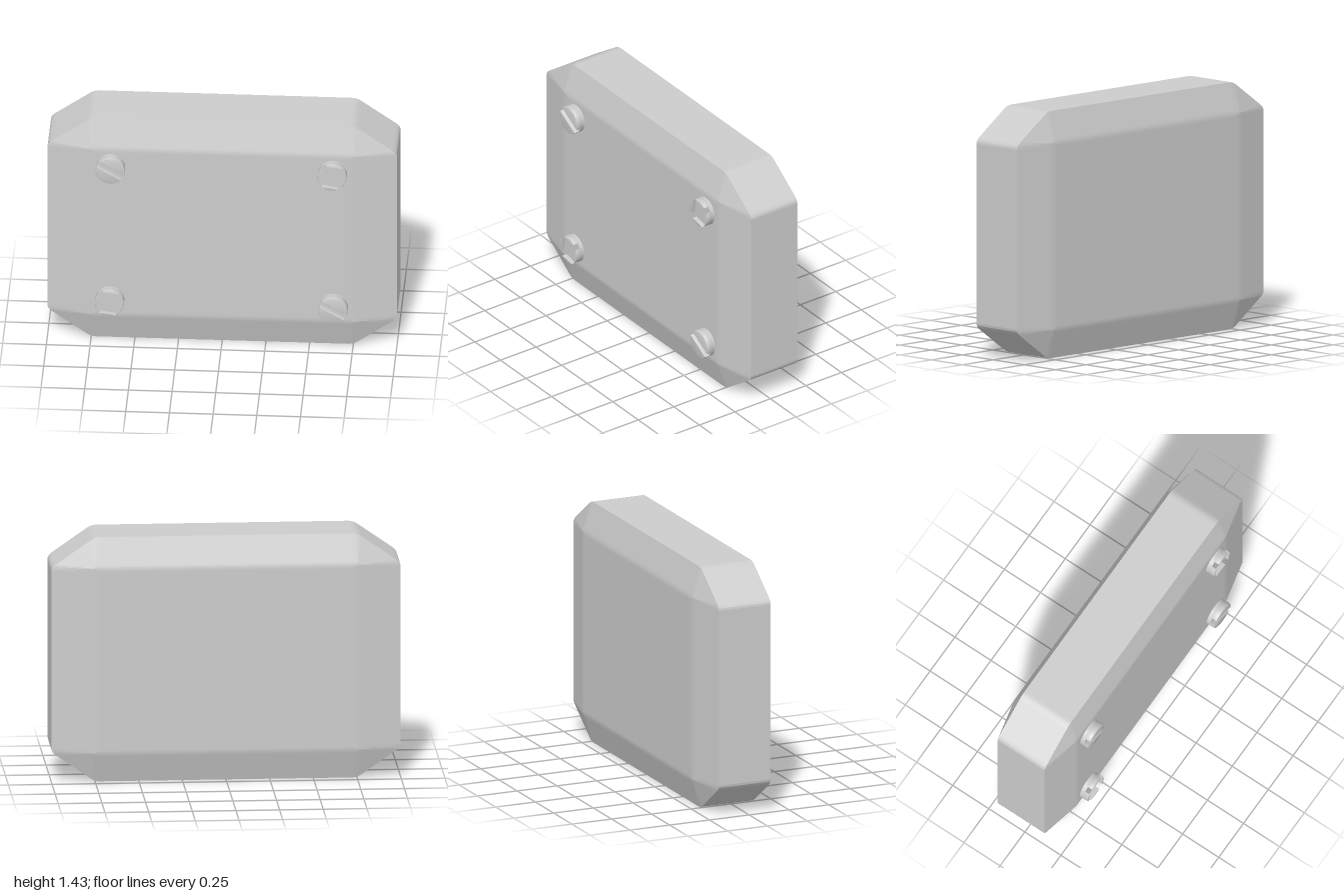
import * as THREE from 'three';
import { toCreasedNormals } from 'three/addons/utils/BufferGeometryUtils.js';

const CY = 0.715; // height of the case centre
const RIM = 0.1625, FACE = 0.2175, MID_Z = -0.0275; // half depths and centre of the case

// Quadratic rounding of a corner c between points a and b
function round(a, c, b, steps = 3) {
  const curve = new THREE.QuadraticBezierCurve(a, c, b);
  return curve.getPoints(steps);
}

// Outline of the case: t = 0 at the rim, t = 1 where the slopes meet the flat face
function outline(t) {
  const hx = 1 - 0.25 * t, hy = 0.715 - 0.175 * t;
  const a = new THREE.Vector2(hx, Math.min(0.54, hy));
  const b = new THREE.Vector2(Math.min(0.75, hx), hy);
  const k = Math.min(0.1, 0.03 / Math.max(a.distanceTo(b), 0.03));
  const quarter = [
    ...round(new THREE.Vector2(a.x, a.y - 0.02), a, a.clone().lerp(b, k)),
    ...round(b.clone().lerp(a, k), b, new THREE.Vector2(b.x - 0.025, b.y)),
  ];
  const mirror = (sx, sy) => quarter.map((p) => new THREE.Vector2(p.x * sx, p.y * sy));
  return [...quarter, ...mirror(-1, 1).reverse(), ...mirror(-1, -1), ...mirror(1, -1).reverse()];
}

function caseGeometry() {
  // Cross-sections from the back face to the front face, with softened face edges
  const half = [[0, RIM], ...round(new THREE.Vector2(0.9, RIM + 0.9 * (FACE - RIM)),
    new THREE.Vector2(1, FACE), new THREE.Vector2(1.1, FACE), 4).map((p) => [p.x, p.y])];
  const levels = [...half.map(([t, z]) => [t, -z]).reverse(), ...half];
  const pos = [], index = [];
  let n = 0;
  for (const [t, z] of levels) {
    const ring = outline(t);
    n = ring.length;
    for (const p of ring) pos.push(p.x, p.y, z);
  }
  for (let r = 0; r < levels.length - 1; r++) {
    for (let i = 0; i < n; i++) {
      const j = (i + 1) % n, a = r * n, b = a + n;
      index.push(a + i, a + j, b + j, a + i, b + j, b + i);
    }
  }
  // Flat back and front
  const back = pos.length / 3, front = back + 1, last = (levels.length - 1) * n;
  pos.push(0, 0, -FACE, 0, 0, FACE);
  for (let i = 0; i < n; i++) {
    const j = (i + 1) % n;
    index.push(back, j, i, front, last + i, last + j);
  }
  const g = new THREE.BufferGeometry();
  g.setAttribute('position', new THREE.Float32BufferAttribute(pos, 3));
  g.setIndex(index);
  return g;
}

const R = 0.083, SLOT = 0.016; // screw radius and half slot width

// Screw head: a disc carrying two or four raised segments that leave the slots open
function screw(cross, material) {
  const group = new THREE.Group();
  const base = new THREE.Mesh(toCreasedNormals(new THREE.CylinderGeometry(R, R, 0.05, 40), 0.6), material);
  base.name = 'screwBase';
  base.rotation.x = Math.PI / 2;
  group.add(base);

  const count = cross ? 4 : 2, start = Math.asin(SLOT / R);
  const shape = new THREE.Shape();
  if (cross) shape.moveTo(SLOT, SLOT);
  shape.absarc(0, 0, R, start, (2 * Math.PI) / count - start, false);
  shape.closePath();
  const bevel = 0.005;
  const geometry = toCreasedNormals(new THREE.ExtrudeGeometry(shape, {
    depth: 0.035, curveSegments: 40 / count, bevelEnabled: true,
    bevelThickness: bevel, bevelSize: bevel, bevelOffset: -bevel, bevelSegments: 2,
  }), 0.6);
  for (let i = 0; i < count; i++) {
    const segment = new THREE.Mesh(geometry, material);
    segment.name = 'screwHeadSegment';
    segment.position.z = 0.015;
    segment.rotation.z = (i * 2 * Math.PI) / count;
    group.add(segment);
  }
  return group;
}

export function createModel() {
  const model = new THREE.Group();
  model.name = 'screwedCase';
  const bodyMaterial = new THREE.MeshStandardMaterial({ color: 0xcccccc, flatShading: true });
  const screwMaterial = new THREE.MeshStandardMaterial({ color: 0xcccccc });

  const body = new THREE.Mesh(caseGeometry(), bodyMaterial);
  body.name = 'caseBody';
  body.position.set(0, CY, MID_Z);
  model.add(body);

  // Name, x, y, cross slot?, turn in degrees
  const screws = [
    ['topRightScrew', -0.635, 1.145, false, -30],
    ['topLeftScrew', 0.635, 1.143, true, 35],
    ['bottomRightScrew', -0.64, 0.278, true, 37],
    ['bottomLeftScrew', 0.64, 0.272, false, -30],
  ];
  for (const [name, x, y, cross, turn] of screws) {
    const s = screw(cross, screwMaterial);
    s.name = name;
    s.position.set(x, y, 0.19);
    s.rotation.z = THREE.MathUtils.degToRad(turn);
    model.add(s);
  }
  return model;
}
